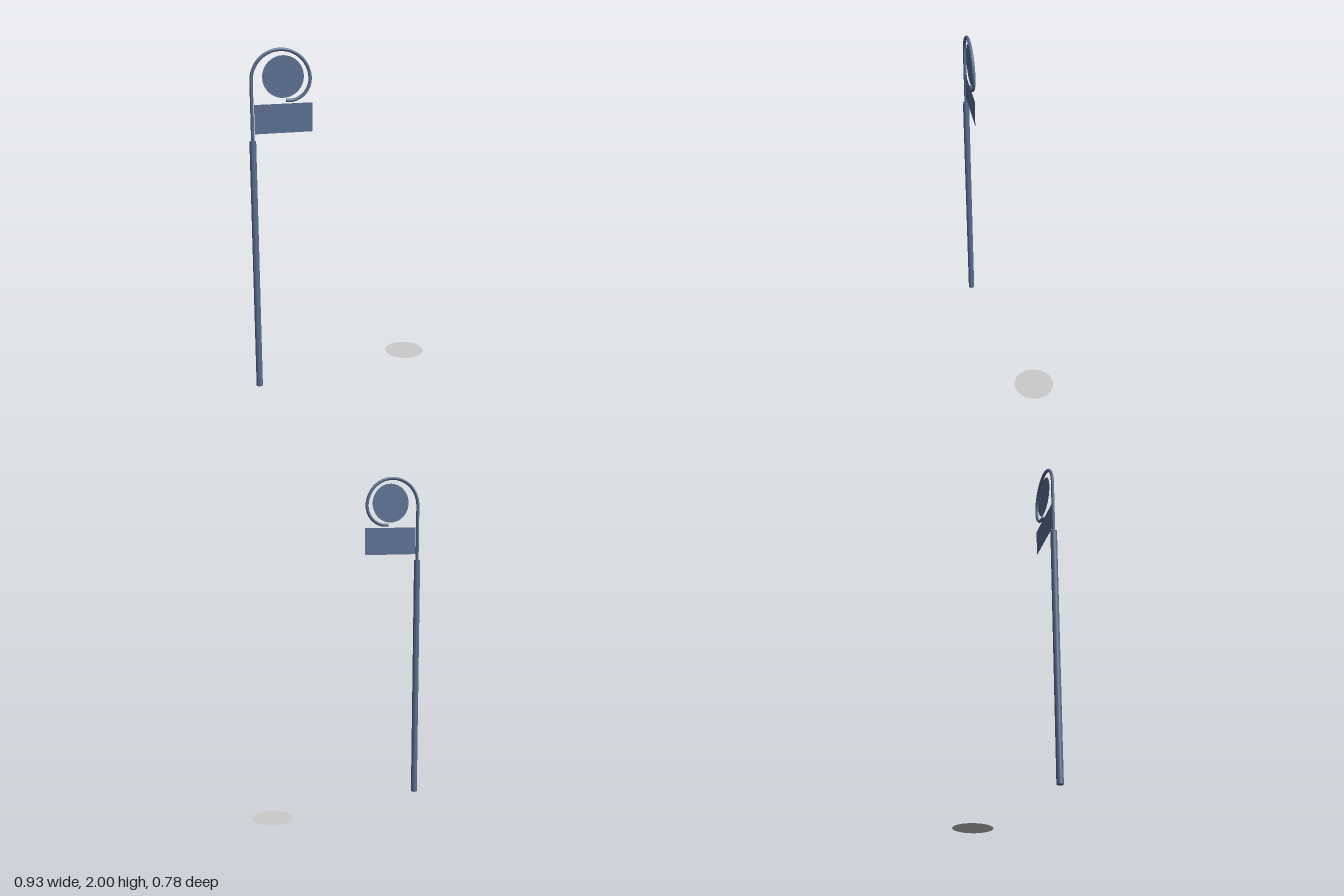
import * as THREE from 'three';

export function createModel() {
  const model = new THREE.Group();
  const blue = new THREE.MeshStandardMaterial({ color: 0x5a6f92 });
  const blueThin = new THREE.MeshStandardMaterial({ color: 0x5a6f92, side: THREE.DoubleSide });
  const greyThin = new THREE.MeshStandardMaterial({ color: 0xcccccc, side: THREE.DoubleSide });

  const add = (parent, name, geometry, material, x = 0, y = 0, z = 0) => {
    const mesh = new THREE.Mesh(geometry, material);
    mesh.name = name;
    mesh.position.set(x, y, z);
    parent.add(mesh);
    return mesh;
  };

  // Signpost: built in its own plane, then turned about the pole
  const post = new THREE.Group();
  post.name = 'signPost';
  post.position.set(-0.448, 0, 0.37);
  post.rotation.y = 0.45;
  model.add(post);

  add(post, 'pole', new THREE.CylinderGeometry(0.019, 0.019, 1.49, 16), blue, 0, 0.745);

  // Thin upper rod: straight, half circle over the top, then a tighter curl
  const points = [[0, 1.48], [0, 1.58], [0, 1.7], [0, 1.78]];
  const arc = (cx, cy, r, from, to, steps) => {
    for (let i = 0; i <= steps; i++) {
      const a = THREE.MathUtils.degToRad(from + (to - from) * i / steps);
      points.push([cx + r * Math.cos(a), cy + r * Math.sin(a)]);
    }
  };
  arc(0.165, 1.825, 0.165, 180, 10, 14);
  arc(0.21, 1.828, 0.12, 0, -98, 8);
  const path = new THREE.CatmullRomCurve3(points.map(([x, y]) => new THREE.Vector3(x, y, 0)));
  add(post, 'hookRod', new THREE.TubeGeometry(path, 96, 0.0095, 10), blue);

  // Cap closing the free end of the curl
  const cap = add(post, 'hookEnd', new THREE.CircleGeometry(0.0095, 10), blueThin);
  cap.position.copy(path.getPoint(1));
  cap.quaternion.setFromUnitVectors(new THREE.Vector3(0, 0, 1), path.getTangent(1));

  // Flat sign plates
  add(post, 'roundSign', new THREE.CircleGeometry(0.117, 40), blueThin, 0.178, 1.841);
  add(post, 'nameSign', new THREE.PlaneGeometry(0.329, 0.164), blueThin, 0.177, 1.61);

  // Flat disc on the ground
  const disc = add(model, 'groundDisc', new THREE.CircleGeometry(0.122, 48), greyThin, 0.345, 0.002, -0.268);
  disc.rotation.x = -Math.PI / 2;

  return model;
}
